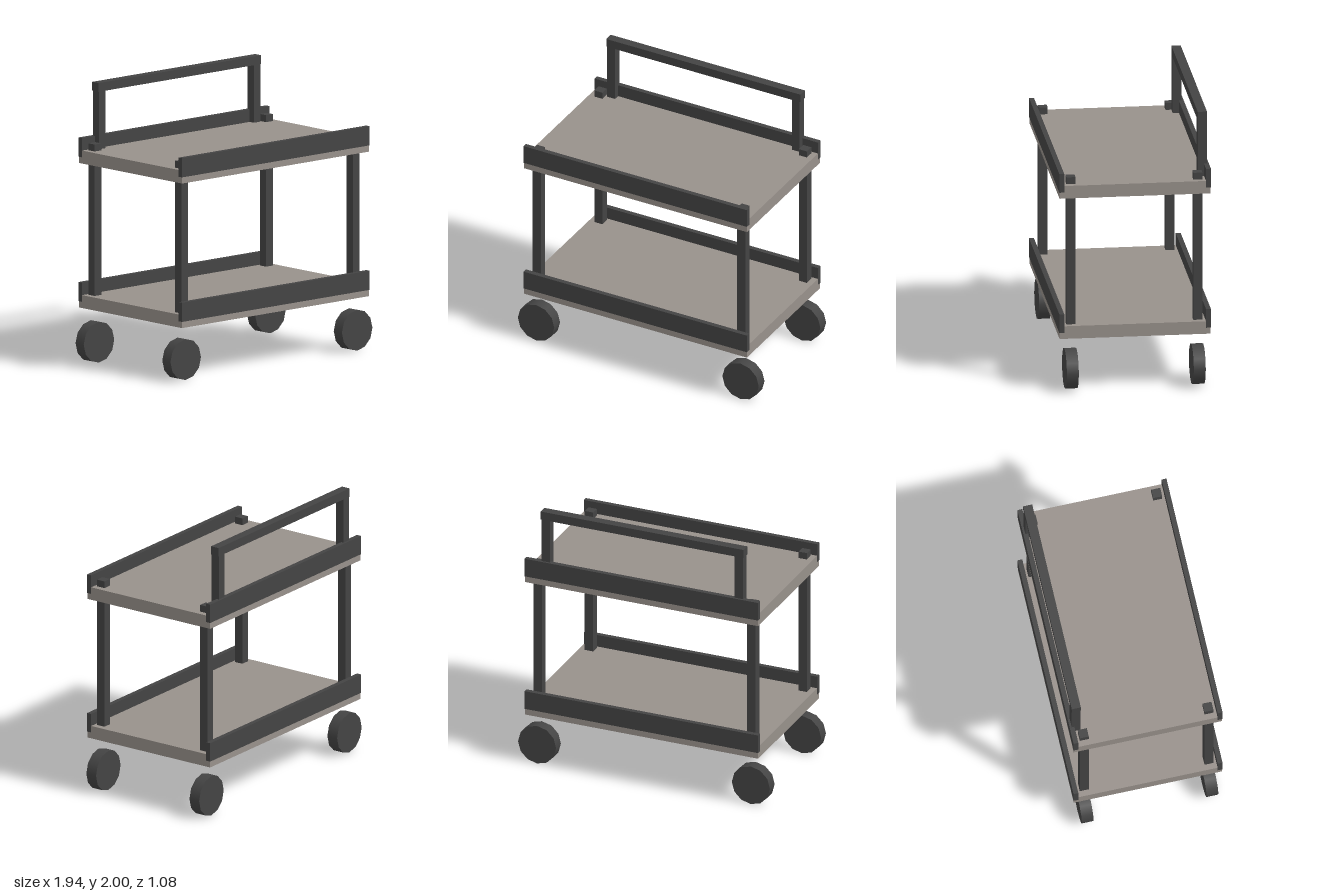
import * as THREE from 'three';

export function createModel() {
  const model = new THREE.Group();
  model.name = 'servingCart';

  const shelfGrey = new THREE.MeshStandardMaterial({ color: 0x98918b });
  shelfGrey.name = 'warm grey';
  const frameGrey = new THREE.MeshStandardMaterial({ color: 0x444444 });
  frameGrey.name = 'dark grey';

  const add = (name, geometry, material, x, y, z) => {
    const mesh = new THREE.Mesh(geometry, material);
    mesh.name = name;
    mesh.position.set(x, y, z);
    model.add(mesh);
    return mesh;
  };

  // Box given by its width, depth and vertical extent
  const addBox = (name, material, w, d, y0, y1, x, z) =>
    add(name, new THREE.BoxGeometry(w, y1 - y0, d), material, x, (y0 + y1) / 2, z);

  // Two shelves, each with a rail along the front and back edges
  for (const [level, y] of [['lower', 0.39], ['upper', 1.43]]) {
    addBox(level + 'Shelf', shelfGrey, 1.8, 1.076, y, y + 0.093, 0, 0);
    for (const [side, s] of [['Front', 1], ['Back', -1]]) {
      addBox(level + side + 'Rail', frameGrey, 1.804, 0.035, y + 0.045, y + 0.183, 0, s * 0.5225);
    }
  }

  // Corner posts and the wheels under them
  const wheel = new THREE.CylinderGeometry(0.147, 0.147, 0.085, 12);
  wheel.rotateX(Math.PI / 2);
  for (const [side, x] of [['left', 0.825], ['right', -0.825]]) {
    for (const [end, z] of [['Front', 0.452], ['Back', -0.452]]) {
      addBox(side + end + 'Post', frameGrey, 0.065, 0.065, 0.435, 1.573, x, z);
      add(side + end + 'Wheel', wheel, frameGrey, x, 0.148, z);
    }
  }

  // Push handle at the back
  for (const [side, x] of [['left', 0.745], ['right', -0.745]]) {
    addBox(side + 'HandlePost', frameGrey, 0.064, 0.064, 1.48, 1.937, x, -0.493);
  }
  addBox('handleBar', frameGrey, 1.566, 0.066, 1.937, 2.0, 0, -0.493);

  return model;
}
